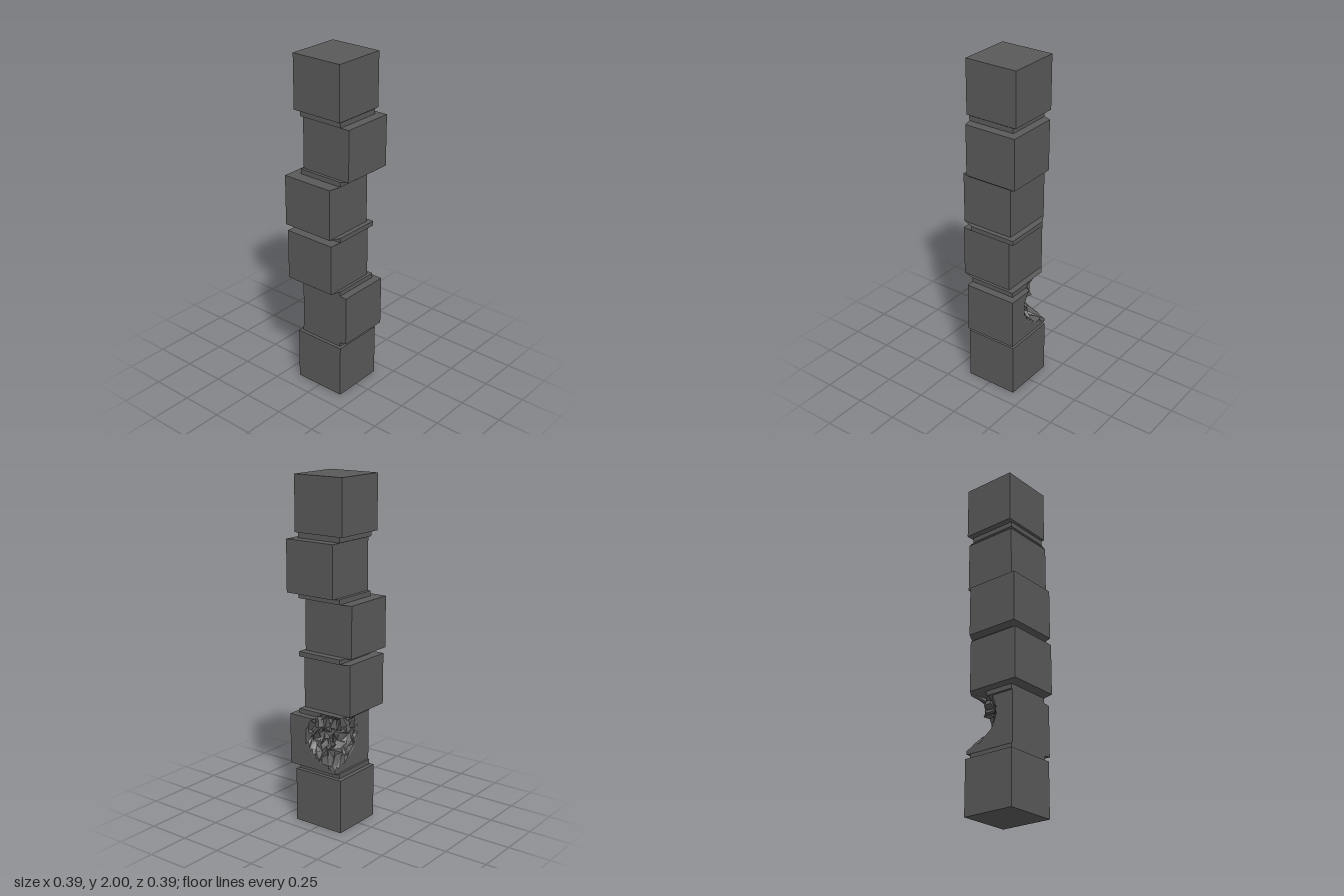
import * as THREE from 'three';

// Sections of the column: [bottom, top, x0, x1, z0, z1]
const BLOCKS = [
  [0, 0.317, -0.158, 0.16, -0.171, 0.147],
  [0.352, 0.65, -0.13, 0.188, -0.186, 0.132],
  [0.685, 0.984, -0.184, 0.134, -0.122, 0.195],
  [1.02, 1.317, -0.195, 0.124, -0.122, 0.197],
  [1.354, 1.651, -0.125, 0.193, -0.198, 0.121],
  [1.688, 2, -0.168, 0.151, -0.175, 0.146],
];
const NECK = [-0.137, 0.146, -0.155, 0.132];
const SIDE = 14; // segments along each side of a ring

// Repeatable noise in -1..1 tied to a grid position
function noise(i, j, k) {
  const s = Math.sin(i * 127.1 + j * 311.7 + k * 74.7) * 43758.5453;
  return (s - Math.floor(s)) * 2 - 1;
}

// Ellipsoidal bite out of the second block's corner, pushed in diagonally
const BITE = { x: -0.13, y: 0.55, z: -0.186, r: 0.2, ry: 0.155 };
function bite(p, i, j) {
  if (p.y > 0.675 || p.y < 0.37) return;
  const ax = (p.x - BITE.x) / BITE.r, az = (p.z - BITE.z) / BITE.r;
  const ay = (p.y - BITE.y) / BITE.ry;
  const q = ax * ax + ay * ay + az * az;
  if (q >= 1) return;
  const b = (ax + az) * Math.SQRT1_2;
  const push = (-b + Math.sqrt(b * b + 1 - q)) * BITE.r * 0.85;
  const rough = Math.min(1, push / 0.05) * 0.02;
  p.x += push * Math.SQRT1_2 + rough * noise(i, j, 1);
  p.y += rough * noise(i, j, 2);
  p.z += push * Math.SQRT1_2 + rough * noise(i, j, 3);
}

// Rectangular ring point i of 4 * SIDE, counter-clockwise seen from above
function ringPoint([x0, x1, z0, z1], y, i) {
  const c = [[x0, z1], [x1, z1], [x1, z0], [x0, z0]];
  const s = Math.floor(i / SIDE), t = (i % SIDE) / SIDE;
  const a = c[s], b = c[(s + 1) % 4];
  return new THREE.Vector3(a[0] + (b[0] - a[0]) * t, y, a[1] + (b[1] - a[1]) * t);
}

// Loft through levels of [y, rectangle, rows from the level below]
function loft(levels) {
  const n = SIDE * 4, pos = [], index = [];
  let row = 0;
  const addRow = (pointAt) => {
    for (let i = 0; i < n; i++) {
      const p = pointAt(i);
      bite(p, i, row);
      pos.push(p.x, p.y, p.z);
      if (row > 0) {
        const a = (row - 1) * n + i, b = (row - 1) * n + (i + 1) % n;
        index.push(a, b, b + n, a, b + n, a + n);
      }
    }
    row++;
  };
  levels.forEach(([y, rect, rows], l) => {
    if (l === 0) return addRow((i) => ringPoint(rect, y, i));
    const [py, prect] = levels[l - 1];
    for (let r = 1; r <= rows; r++) {
      addRow((i) => ringPoint(prect, py, i).lerp(ringPoint(rect, y, i), r / rows));
    }
  });
  // End caps
  const top = (row - 1) * n, [a, b, c, d] = [0, SIDE, SIDE * 2, SIDE * 3];
  index.push(a, c, b, a, d, c);
  index.push(top + a, top + b, top + c, top + a, top + c, top + d);
  const g = new THREE.BufferGeometry();
  g.setAttribute('position', new THREE.Float32BufferAttribute(pos, 3));
  g.setIndex(index);
  const flat = g.toNonIndexed();
  flat.computeVertexNormals();
  return flat;
}

export function createModel() {
  const group = new THREE.Group();
  group.name = 'brokenPillar';
  const stone = new THREE.MeshStandardMaterial({ color: 0x595959 });
  stone.name = 'dark stone';

  // Offset blocks joined by recessed necks
  const levels = [];
  BLOCKS.forEach(([y0, y1, ...rect], k) => {
    const damaged = k === 1;
    levels.push([y0, rect, 1], [y1, rect, damaged ? 13 : 1]);
    if (k < BLOCKS.length - 1) {
      levels.push([y1 + 0.004, NECK, damaged ? 3 : 1], [BLOCKS[k + 1][0] - 0.004, NECK, 1]);
    }
  });
  const pillar = new THREE.Mesh(loft(levels), stone);
  pillar.name = 'stackedPillar';
  group.add(pillar);

  // Broken splinters standing in the upper part of the bite
  [[-0.03, 0.64, -0.13, 0.4], [-0.06, 0.63, -0.09, 1.1], [0.01, 0.64, -0.15, 2], [-0.09, 0.64, -0.06, 2.6]]
    .forEach(([x, y, z, turn]) => {
      const shard = new THREE.Mesh(new THREE.ConeGeometry(0.03, 0.08, 4).toNonIndexed(), stone);
      shard.geometry.computeVertexNormals();
      shard.position.set(x, y, z);
      shard.rotation.set(-0.4, turn, 0.4);
      shard.name = 'shard';
      group.add(shard);
    });
  return group;
}
